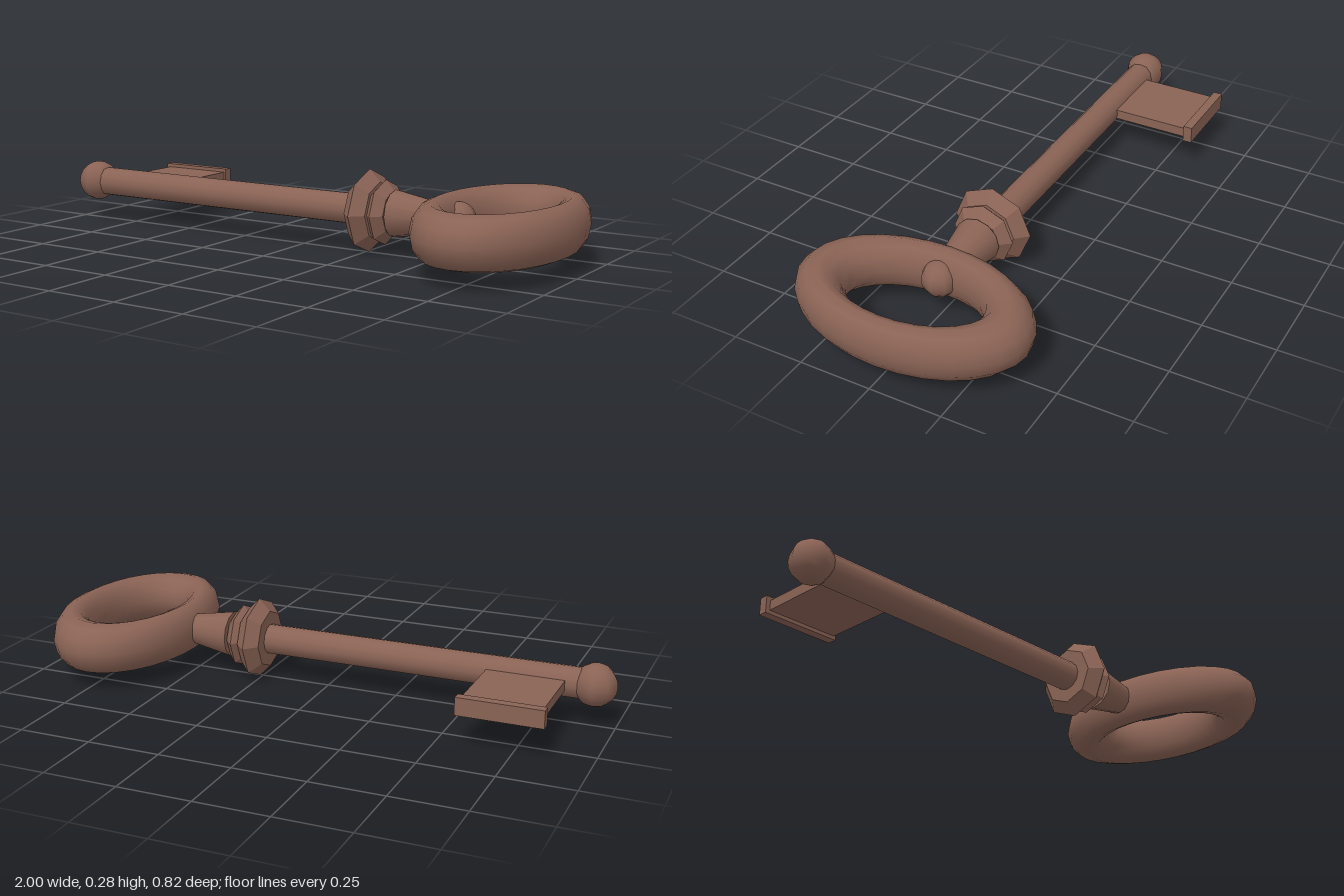
import * as THREE from 'three';

const AXIS_Y = 0.143;

export function createModel() {
  const model = new THREE.Group();
  const bronze = new THREE.MeshStandardMaterial({ color: 0x8a6355 });
  const bronzeFlat = new THREE.MeshStandardMaterial({ color: 0x8a6355, flatShading: true });

  function add(name, geometry, x, z = 0, material = bronze) {
    const mesh = new THREE.Mesh(geometry, material);
    mesh.name = name;
    mesh.position.set(x, AXIS_Y, z);
    model.add(mesh);
    return mesh;
  }

  // Turned part along the x axis; profile is [x, radius] pairs
  function turned(name, profile, sides, material) {
    const points = profile.map(([x, r]) => new THREE.Vector2(r, x));
    const geometry = new THREE.LatheGeometry(points, sides).rotateZ(-Math.PI / 2);
    return add(name, geometry, 0, 0, material);
  }

  // Shaft with a ball on the tip
  const shaft = new THREE.CylinderGeometry(0.052, 0.052, 1.25, 12).rotateZ(-Math.PI / 2);
  add('shaft', shaft, -0.305);
  add('tipBall', new THREE.SphereGeometry(0.072, 8, 10), -0.928);

  // Faceted collars
  turned('largeCollar', [[0.22, 0], [0.22, 0.1], [0.26, 0.141], [0.3, 0.1], [0.3, 0]], 8, bronzeFlat);
  turned('smallCollar', [[0.302, 0], [0.302, 0.09], [0.322, 0.11], [0.353, 0.075], [0.353, 0]], 8, bronzeFlat);

  // Tapered neck running into the bow, ending in a small ball
  const neck = new THREE.CylinderGeometry(0.05, 0.08, 0.17, 12).rotateZ(-Math.PI / 2);
  add('neck', neck, 0.445);
  turned('neckCore', [[0.29, 0.045], [0.6, 0.045]], 12);
  add('neckBall', new THREE.SphereGeometry(0.062, 8, 10), 0.59);

  // Oval ring to hold the key by
  const bow = new THREE.TorusGeometry(0.32, 0.088, 12, 28).rotateX(Math.PI / 2);
  add('bow', bow, 0.745).scale.x = 0.615;

  // Bit plate with a thicker bar on its outer edge
  add('bitPlate', new THREE.BoxGeometry(0.262, 0.035, 0.31), -0.708, -0.175);
  add('bitBar', new THREE.BoxGeometry(0.285, 0.06, 0.032), -0.712, -0.336);

  return model;
}
